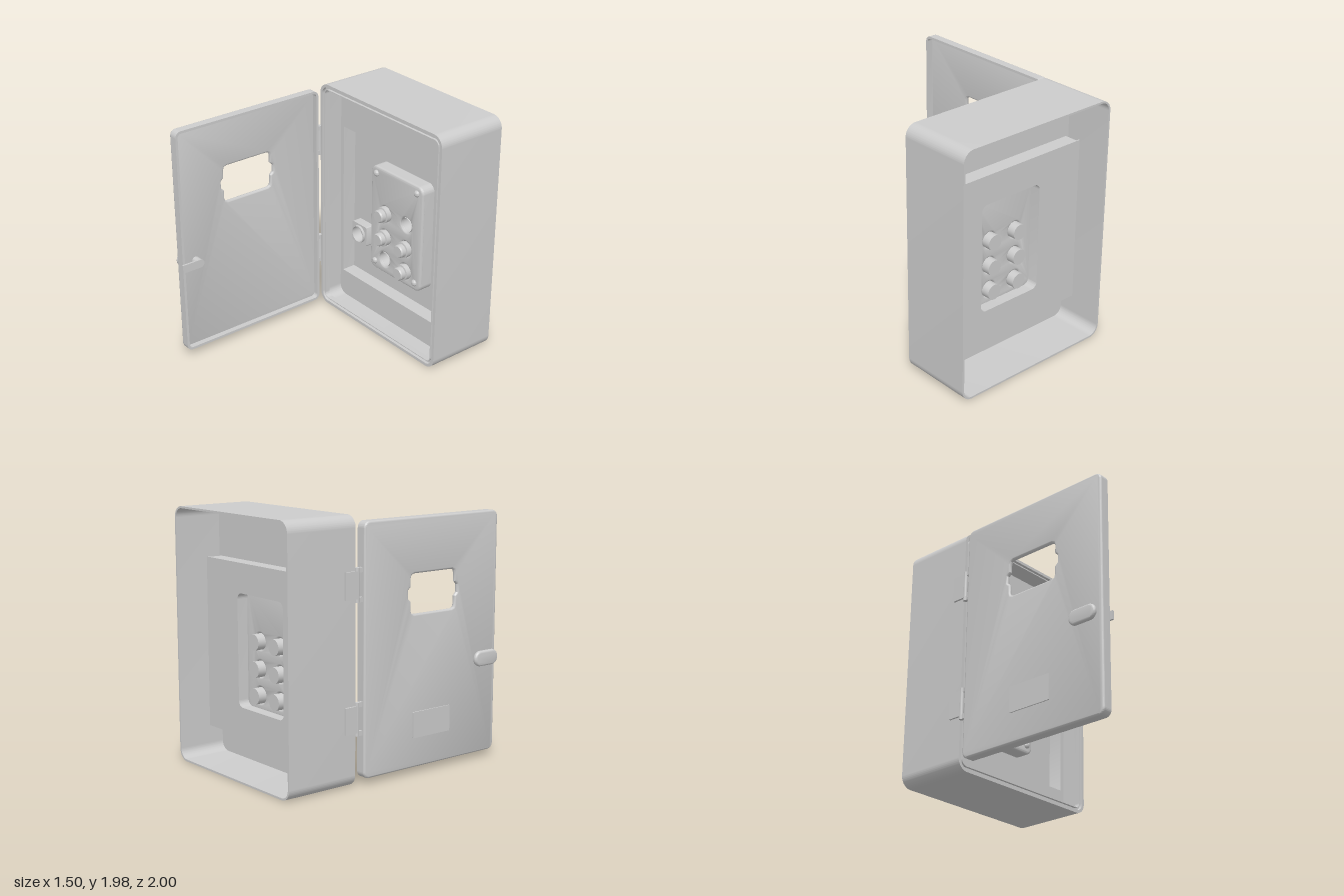
import * as THREE from 'three';
import { toCreasedNormals } from 'three/addons/utils/BufferGeometryUtils.js';

const grey = new THREE.MeshStandardMaterial({ color: 0xcccccc });
const greyDouble = new THREE.MeshStandardMaterial({ color: 0xcccccc, side: THREE.DoubleSide });

// Rounded rectangle between two corners
function rect(x0, y0, x1, y1, r = 0.001, Type = THREE.Shape) {
  const s = new Type();
  s.moveTo(x0 + r, y0);
  s.lineTo(x1 - r, y0);
  s.absarc(x1 - r, y0 + r, r, -Math.PI / 2, 0);
  s.lineTo(x1, y1 - r);
  s.absarc(x1 - r, y1 - r, r, 0, Math.PI / 2);
  s.lineTo(x0 + r, y1);
  s.absarc(x0 + r, y1 - r, r, Math.PI / 2, Math.PI);
  s.lineTo(x0, y0 + r);
  s.absarc(x0 + r, y0 + r, r, Math.PI, Math.PI * 1.5);
  return s;
}

function circleHole(x, y, r) {
  return new THREE.Path().absarc(x, y, r, 0, Math.PI * 2);
}

// Slab from z0 to z1, with holes and an optional bevel kept inside the outline
function slab(shape, z0, z1, holes = [], bevel = 0) {
  shape.holes.push(...holes);
  const g = new THREE.ExtrudeGeometry(shape, {
    depth: z1 - z0 - 2 * bevel, bevelEnabled: bevel > 0, bevelSize: bevel,
    bevelThickness: bevel, bevelOffset: -bevel, bevelSegments: 4, curveSegments: 12,
  });
  g.translate(0, 0, z0 + bevel);
  return toCreasedNormals(g, 0.6);
}

function add(parent, name, geometry, material = grey) {
  const m = new THREE.Mesh(geometry, material);
  m.name = name;
  parent.add(m);
  return m;
}

function box(parent, name, x0, x1, y0, y1, z0, z1) {
  const g = new THREE.BoxGeometry(x1 - x0, y1 - y0, z1 - z0);
  return add(parent, name, g.translate((x0 + x1) / 2, (y0 + y1) / 2, (z0 + z1) / 2));
}

// Turned part along z: profile points are [radius, z]
function turned(parent, name, x, y, profile) {
  const pts = profile.map(([r, z]) => new THREE.Vector2(r, z));
  const g = toCreasedNormals(new THREE.LatheGeometry(pts, 32), 0.6);
  return add(parent, name, g.rotateX(Math.PI / 2).translate(x, y, 0), greyDouble);
}

function screw(parent, x, y, z, r) {
  const dome = [[0, 0.9], [0.4, 0.82], [0.75, 0.6], [1, 0.25], [1, 0]];
  turned(parent, 'screw', x, y, dome.map(([a, b]) => [a * r, z + b * r]));
}

function makeCabinet() {
  const g = new THREE.Group();
  g.name = 'cabinet';
  const inset = (i, Type) => rect(-0.66 + i, i, 0.75 - i, 1.98 - i, Math.max(0.09 - i, 0.03), Type);
  const ring = (name, a, b, z0, z1) => add(g, name, slab(inset(a), z0, z1, [inset(b, THREE.Path)]));

  // Open-backed shell and the stepped front rim with its seal groove
  ring('cabinetWall', 0, 0.015, -1, -0.4);
  ring('frontRim', 0.015, 0.024, -0.45, -0.4);
  ring('sealGroove', 0.024, 0.044, -0.45, -0.425);
  ring('innerLip', 0.044, 0.05, -0.45, -0.405);

  // Mounting frame with a sunken pan in the middle
  const pan = (i, Type) => rect(-0.61 + i, 0.24 + i, 0.70 - i, 1.56 - i, 0.001, Type);
  add(g, 'mountingFrame', slab(inset(0.01), -0.612, -0.6, [pan(0, THREE.Path)]));
  add(g, 'panWalls', slab(pan(-0.01), -0.72, -0.602, [pan(0, THREE.Path)]));
  add(g, 'panFloor', slab(rect(-0.65, 0.23, 0.74, 1.57), -0.73, -0.72,
    [rect(-0.24, 0.46, 0.33, 1.34, 0.05, THREE.Path)]));
  return g;
}

function makeControlBox() {
  const g = new THREE.Group();
  g.name = 'controlBox';
  const buttons = [];
  for (const y of [0.98, 0.77, 0.565]) for (const x of [-0.08, 0.17]) buttons.push([x, y]);

  // Hollow raised housing
  add(g, 'housingWall', slab(rect(-0.26, 0.44, 0.35, 1.36, 0.06), -0.725, -0.62,
    [rect(-0.24, 0.46, 0.33, 1.34, 0.05, THREE.Path)]));
  add(g, 'housingFace', slab(rect(-0.26, 0.44, 0.35, 1.36, 0.06), -0.64, -0.6,
    buttons.map(([x, y]) => circleHole(x, y, 0.062)), 0.018));

  // Rear cups for all positions; two are left empty
  buttons.forEach(([x, y], i) => {
    turned(g, 'buttonCup', x, y, [[0.062, -0.6], [0.062, -0.7], [0, -0.7]]);
    if (i !== 1 && i !== 4) {
      turned(g, 'pushButton', x, y, [[0, -0.515], [0.046, -0.515], [0.054, -0.525], [0.054, -0.56],
        [0.067, -0.563], [0.067, -0.6], [0.05, -0.61]]);
    }
  });
  for (const x of [-0.195, 0.285]) for (const y of [0.51, 1.3]) screw(g, x, y, -0.6, 0.027);
  return g;
}

function makeSocket() {
  const g = new THREE.Group();
  g.name = 'roundSocket';
  add(g, 'socketBody', slab(rect(-0.54, 0.55, -0.36, 0.725, 0.012), -0.72, -0.64, [circleHole(-0.45, 0.637, 0.07)]));
  turned(g, 'socketSleeve', -0.45, 0.637, [[0.075, -0.64], [0.075, -0.62], [0.066, -0.62], [0.066, -0.705], [0, -0.705]]);
  return g;
}

function makeSwitch() {
  const g = new THREE.Group();
  g.name = 'rockerSwitch';
  add(g, 'switchBody', slab(rect(0.443, 0.71, 0.632, 1.09, 0.02), -0.72, -0.66, [], 0.012));
  for (const y of [0.69, 1.11]) {
    add(g, 'mountingTab', slab(rect(0.508, y - 0.025, 0.568, y + 0.025, 0.022), -0.72, -0.705));
    screw(g, 0.538, y, -0.705, 0.018);
  }
  // Rocker tilted about its middle
  box(g, 'rocker', -0.032, 0.032, -0.028, 0.028, -0.01, 0.008).position.set(0.538, 1.01, -0.66);
  g.children[g.children.length - 1].rotation.x = -0.3;
  return g;
}

// Door parts are drawn in a (z, y) plane and turned so that depth runs towards -x
function doorSlab(parent, name, shape, xIn, xOut, holes, bevel) {
  return add(parent, name, slab(shape, -xIn, -xOut, holes, bevel).rotateY(-Math.PI / 2));
}

function makeDoor() {
  const g = new THREE.Group();
  g.name = 'openDoor';
  const outline = (i, Type) => rect(-0.34 + i, 0.05 + i, 0.985 - i, 1.935 - i, 0.05 - i, Type);

  // Window with a small notch on either side
  const w = new THREE.Path();
  const half = [[0.09, 1.41], [0.105, 1.425], [0.105, 1.49], [0.113, 1.511], [0.135, 1.52]];
  const mirror = ([z, y], sz, sy) => [sz ? 0.65 - z : z, sy ? 2.74 - y : y];
  const pts = [[0.08, 1.4], ...half];
  const loop = [
    ...pts.map((p) => mirror(p, 0, 0)), ...pts.slice().reverse().map((p) => mirror(p, 1, 0)),
    ...pts.map((p) => mirror(p, 1, 1)), ...pts.slice().reverse().map((p) => mirror(p, 0, 1)),
  ];
  w.setFromPoints(loop.map(([z, y]) => new THREE.Vector2(z, y)));
  w.closePath();

  doorSlab(g, 'doorSkin', outline(0), -0.655, -0.69, [w], 0.016);
  doorSlab(g, 'doorRim', outline(0), -0.61, -0.673, [outline(0.02, THREE.Path)], 0);
  doorSlab(g, 'labelPlate', rect(0.13, 0.28, 0.5, 0.48, 0.005), -0.685, -0.699, [], 0);

  // Latch: wing knob, shaft and inner cam
  const shaft = new THREE.CylinderGeometry(0.033, 0.033, 0.135, 24);
  add(g, 'latchShaft', shaft.rotateZ(Math.PI / 2).translate(-0.6525, 0.807, 0.84));
  doorSlab(g, 'latchKnob', rect(0.72, 0.747, 0.96, 0.867, 0.059), -0.712, -0.752, [], 0.018);
  doorSlab(g, 'latchCam', rect(0.805, 0.773, 1.0, 0.841, 0.0335), -0.585, -0.6, [], 0);
  box(g, 'camEnd', -0.6, -0.585, 0.773, 0.841, 0.94, 1.0);
  return g;
}

function makeHinge(y) {
  const g = new THREE.Group();
  g.name = 'hinge';
  box(g, 'cabinetLeaf', -0.676, -0.658, y - 0.1, y + 0.1, -0.5, -0.385);
  const pin = new THREE.CylinderGeometry(0.017, 0.017, 0.25, 16);
  add(g, 'hingePin', pin.translate(-0.66, y, -0.387));
  for (const s of [-1, 1]) {
    box(g, 'doorArm', -0.67, -0.645, y + s * 0.107 - 0.018, y + s * 0.107 + 0.018, -0.387, -0.33);
  }
  return g;
}

export function createModel() {
  const model = new THREE.Group();
  model.name = 'controlCabinet';
  model.add(makeCabinet(), makeControlBox(), makeSocket(), makeSwitch(), makeDoor(), makeHinge(0.505), makeHinge(1.485));
  return model;
}
